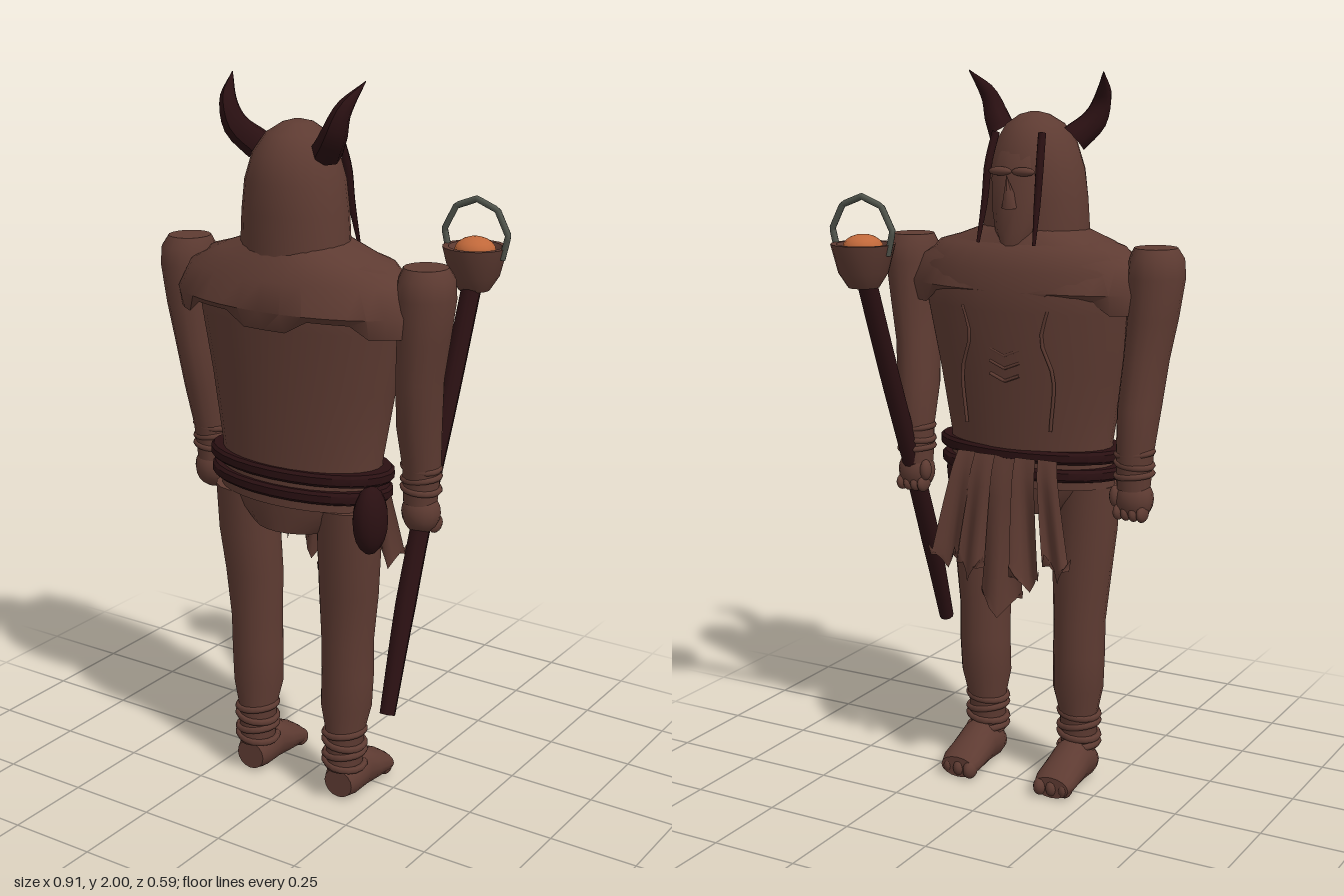
import * as THREE from 'three';
import { toCreasedNormals } from 'three/addons/utils/BufferGeometryUtils.js';

const mat = (name, color, side = THREE.FrontSide) => {
  const m = new THREE.MeshStandardMaterial({ color, side });
  m.name = name;
  return m;
};
const V = (x, y, z) => new THREE.Vector3(x, y, z);

// Closed skin over elliptical sections [y, cx, cz, rx, rz]; bend may move each point
function loft(sections, n = 20, bend = null, capped = true) {
  const pos = [], idx = [];
  const ring = ([y, cx, cz, rx, rz], i) => {
    for (let j = 0; j < n; j++) {
      const a = (j / n) * Math.PI * 2;
      const p = V(cx + rx * Math.cos(a), y, cz + rz * Math.sin(a));
      if (bend) bend(p, a, i);
      pos.push(p.x, p.y, p.z);
    }
  };
  sections.forEach(ring);
  for (let i = 0; i < sections.length - 1; i++)
    for (let j = 0; j < n; j++) {
      const a = i * n + j, b = i * n + (j + 1) % n, c = a + n, d = b + n;
      idx.push(a, c, b, b, c, d);
    }
  if (capped) {
    const last = sections.length - 1, base = pos.length / 3;
    for (const s of [sections[0], sections[last]]) pos.push(s[1], s[0], s[2]);
    for (let j = 0; j < n; j++) {
      const k = (j + 1) % n;
      idx.push(base, j, k, base + 1, last * n + k, last * n + j);
    }
  }
  const g = new THREE.BufferGeometry();
  g.setAttribute('position', new THREE.Float32BufferAttribute(pos, 3));
  g.setIndex(idx);
  return toCreasedNormals(g, 0.75);
}

// Tapered round limb along a smooth path
function taper(points, radii, n = 10, steps = 12) {
  const curve = new THREE.CatmullRomCurve3(points);
  const g = new THREE.TubeGeometry(curve, steps, 1, n);
  const p = g.attributes.position;
  for (let i = 0; i <= steps; i++) {
    const c = curve.getPointAt(i / steps), f = (i / steps) * (radii.length - 1);
    const k = Math.min(Math.floor(f), radii.length - 2);
    const r = THREE.MathUtils.lerp(radii[k], radii[k + 1], f - k);
    for (let j = 0; j <= n; j++) {
      const q = i * (n + 1) + j;
      const v = V().fromBufferAttribute(p, q).sub(c).multiplyScalar(r).add(c);
      p.setXYZ(q, v.x, v.y, v.z);
    }
  }
  g.computeVertexNormals();
  return g;
}

export function createModel() {
  const root = new THREE.Group();
  root.name = 'hornedWarrior';
  const skin = mat('brownSkin', 0x5e3b32);
  const cloth = mat('brownCloth', 0x5e3b32, THREE.DoubleSide);
  const dark = mat('darkLeather', 0x2a1012);
  const ember = mat('emberOrange', 0xc0683a);
  const iron = mat('greyIron', 0x50544c);
  const add = (name, geo, m, x = 0, y = 0, z = 0) => {
    const o = new THREE.Mesh(geo, m);
    o.name = name;
    o.position.set(x, y, z);
    root.add(o);
    return o;
  };
  const ball = (name, m, x, y, z, sx, sy, sz) =>
    add(name, new THREE.SphereGeometry(1, 14, 10).scale(sx, sy, sz), m, x, y, z);

  // Torso and pelvis
  add('torso', loft([[0.88, 0, 0.095, 0.25, 0.135], [1, 0, 0.09, 0.245, 0.14], [1.2, 0, 0.085, 0.28, 0.15],
    [1.37, 0, 0.082, 0.315, 0.162], [1.48, 0, 0.085, 0.33, 0.165], [1.54, 0, 0.09, 0.28, 0.14],
    [1.58, 0, 0.1, 0.14, 0.1]], 28), skin);
  add('pelvis', loft([[0.8, 0, 0.1, 0.13, 0.118], [0.84, 0, 0.1, 0.18, 0.122], [0.88, 0, 0.097, 0.22, 0.128],
    [0.96, 0, 0.095, 0.25, 0.135]], 24), skin);

  // Shoulder mantle with a scalloped hem
  add('mantle', loft([[1.39, 0, 0.1, 0.37, 0.165], [1.425, 0, 0.1, 0.375, 0.193], [1.5, 0, 0.1, 0.335, 0.172],
    [1.55, 0, 0.1, 0.24, 0.145], [1.59, 0, 0.1, 0.13, 0.12]], 36, (p, a, i) => {
    if (i === 0) p.y += Math.abs(p.x) > 0.24 || Math.abs(p.x) < 0.08 ? -0.02 : 0.015;
    if (p.z < 0) p.z *= 0.85;
  }, false), cloth);

  // Two belts and a pouch
  for (const [y, r] of [[0.955, 0.285], [0.905, 0.28]])
    add('belt', loft([[y, 0, 0.095, r - 0.008, 0.142], [y + 0.008, 0, 0.095, r, 0.15],
      [y + 0.027, 0, 0.095, r, 0.15], [y + 0.035, 0, 0.095, r - 0.008, 0.142]], 28), dark);
  ball('pouch', dark, 0.258, 0.865, 0.15, 0.045, 0.095, 0.055);

  // Hooded head, face, horns and braids
  add('hood', loft([[1.5, 0, 0.11, 0.155, 0.13], [1.57, -0.004, 0.11, 0.152, 0.13], [1.66, -0.004, 0.11, 0.145, 0.132],
    [1.74, -0.004, 0.11, 0.133, 0.132], [1.81, -0.002, 0.112, 0.11, 0.118], [1.86, 0, 0.11, 0.078, 0.085],
    [1.885, 0, 0.105, 0.04, 0.045], [1.893, 0, 0.105, 0.01, 0.01]], 22), skin);
  add('face', loft([[1.53, 0, 0, 0.035, 0.045], [1.58, 0, 0.005, 0.06, 0.053], [1.64, 0, 0.01, 0.075, 0.048],
    [1.72, 0, 0.015, 0.08, 0.046], [1.79, 0, 0.03, 0.07, 0.04], [1.83, 0, 0.05, 0.04, 0.03]], 14), skin);
  const nose = add('nose', new THREE.ConeGeometry(0.024, 0.09, 6), skin, 0, 1.69, -0.042);
  nose.rotation.x = -0.25;
  for (const s of [-1, 1]) {
    add('horn', taper([V(s * 0.105, 1.82, 0.13), V(s * 0.15, 1.87, 0.165), V(s * 0.175, 1.93, 0.165),
      V(s * 0.205, 2, 0.105)], [0.042, 0.035, 0.021, 0.001], 8), dark);
    add('braid', taper([V(s * 0.07, 1.84, 0.015), V(s * 0.078, 1.76, -0.012), V(s * 0.08, 1.66, -0.03),
      V(s * 0.085, 1.55, -0.058)], [0.012, 0.012, 0.01, 0.005], 6), dark);
    ball('brow', skin, s * 0.035, 1.74, -0.025, 0.035, 0.012, 0.014);

    // Arms, wrist wraps and fists
    add('arm', loft([[0.9, s * 0.342, 0.035, 0.046, 0.046], [1, s * 0.345, 0.035, 0.05, 0.058],
      [1.12, s * 0.347, 0.055, 0.058, 0.07], [1.25, s * 0.357, 0.073, 0.06, 0.075], [1.36, s * 0.37, 0.08, 0.068, 0.078],
      [1.47, s * 0.378, 0.083, 0.077, 0.082], [1.52, s * 0.378, 0.083, 0.073, 0.078],
      [1.548, s * 0.375, 0.083, 0.058, 0.06]], 16), skin);
    for (let i = 0; i < 3; i++) {
      const wrap = add('wristWrap', new THREE.TorusGeometry(0.049, 0.009, 6, 16), skin, s * 0.344, 0.94 + i * 0.03, 0.035);
      wrap.rotation.set(Math.PI / 2, i % 2 ? 0.1 : -0.1, 0);
    }
    ball('fist', skin, s * 0.345, 0.872, 0.035, 0.054, 0.06, 0.05);
    for (let i = 0; i < 4; i++)
      ball('finger', skin, s * (0.31 + i * 0.023), 0.838, 0.015, 0.014, 0.024, 0.03);
    ball('thumb', skin, s * 0.3, 0.88, 0.01, 0.016, 0.03, 0.02);

    // Legs and ankle wraps
    add('leg', loft([[0.09, s * 0.15, 0.105, 0.05, 0.055], [0.2, s * 0.15, 0.1, 0.054, 0.058],
      [0.28, s * 0.15, 0.095, 0.073, 0.07], [0.38, s * 0.153, 0.093, 0.074, 0.073], [0.48, s * 0.153, 0.095, 0.074, 0.073],
      [0.62, s * 0.158, 0.098, 0.085, 0.076], [0.75, s * 0.165, 0.108, 0.089, 0.083],
      [0.88, s * 0.167, 0.11, 0.09, 0.09]], 16), skin);
    for (let i = 0; i < 4; i++) {
      const wrap = add('ankleWrap', new THREE.TorusGeometry(0.056, 0.01, 6, 16), skin, s * 0.15, 0.105 + i * 0.032, 0.103);
      wrap.rotation.set(Math.PI / 2, i % 2 ? 0.12 : -0.12, 0);
    }

    // Feet with toes
    const foot = loft([[-0.14, 0, 0.048, 0.045, 0.042], [-0.11, 0, 0.058, 0.056, 0.058], [-0.05, 0, 0.066, 0.058, 0.066],
      [0, 0, 0.052, 0.06, 0.052], [0.05, 0, 0.04, 0.061, 0.04], [0.075, 0, 0.032, 0.054, 0.03]], 16);
    add('foot', foot.rotateX(-Math.PI / 2), skin, s * 0.152, 0, 0);
    for (let i = 0; i < 3; i++)
      ball('toe', skin, s * (0.115 + i * 0.036), 0.028, -0.066 + i * 0.006, 0.02, 0.026, 0.026);

    // Raised seams and scars on the chest
    const onChest = (x, y, r) => V(x, y, 0.084 - r * Math.sqrt(1 - (x / 0.31) ** 2));
    add('chestSeam', new THREE.TubeGeometry(new THREE.CatmullRomCurve3([onChest(s * 0.13, 1.05, 0.142),
      onChest(s * 0.14, 1.2, 0.15), onChest(s * 0.11, 1.3, 0.157), onChest(s * 0.13, 1.38, 0.163)]), 10, 0.005, 5), skin);
    for (let i = 0; i < 3; i++) {
      const y = 1.18 + i * 0.035;
      add('chestScar', new THREE.TubeGeometry(new THREE.LineCurve3(onChest(0, y, 0.15),
        onChest(s * 0.045, y + 0.018, 0.15)), 2, 0.005, 5), skin);
    }
  }

  // Ragged loincloth strips: top x, bottom x, width, length
  [[-0.125, -0.18, 0.08, 0.33], [-0.06, -0.09, 0.085, 0.37], [0, 0, 0.12, 0.45], [0.065, 0.095, 0.085, 0.36],
    [0.125, 0.175, 0.08, 0.34]].forEach(([x0, x1, w, len], k) => {
    const g = new THREE.PlaneGeometry(1, 1, 6, 8), p = g.attributes.position;
    for (let i = 0; i < p.count; i++) {
      const u = p.getX(i), t = 0.5 - p.getY(i);
      const tip = t > 0.99 ? Math.abs(u) * 0.16 : 0;
      p.setXYZ(i, x0 + (x1 - x0) * t + u * w * (0.75 + 0.35 * t), 0.97 - t * len + tip,
        -0.052 - 0.045 * Math.sqrt(t) + 0.02 * t * Math.sin(u * 6 + k * 2) - (k % 2) * 0.008);
    }
    g.computeVertexNormals();
    add('loinclothStrip', g, cloth);
  });

  // Staff with a fire bowl and an iron hoop
  add('staff', taper([V(0.37, 0.365, 0.235), V(0.355, 0.62, 0.13), V(0.347, 0.88, 0.02), V(0.352, 1.16, -0.088),
    V(0.355, 1.46, -0.2)], [0.021, 0.028, 0.027, 0.027, 0.027], 10, 16), dark);
  const end = add('staffEnd', new THREE.CircleGeometry(0.021, 10), dark, 0.37, 0.365, 0.235);
  end.rotation.x = 1.18;
  const bowl = [[0, 1.425], [0.042, 1.43], [0.068, 1.47], [0.088, 1.548], [0.072, 1.548], [0.06, 1.53], [0, 1.53]];
  add('fireBowl', toCreasedNormals(new THREE.LatheGeometry(bowl.map(([r, y]) => new THREE.Vector2(r, y)), 20), 0.6),
    skin, 0.352, 0, -0.212);
  ball('embers', ember, 0.352, 1.538, -0.212, 0.056, 0.036, 0.054);
  const hoop = new THREE.CurvePath();
  const arc = [[-0.08, 1.52], [-0.096, 1.585], [-0.062, 1.65], [0, 1.674], [0.062, 1.65], [0.096, 1.585], [0.08, 1.52]];
  arc.slice(1).forEach(([x, y], i) => hoop.add(new THREE.LineCurve3(V(arc[i][0], arc[i][1], 0), V(x, y, 0))));
  add('ironHoop', new THREE.TubeGeometry(hoop, 36, 0.009, 8), iron, 0.353, 0, -0.213);

  return root;
}
